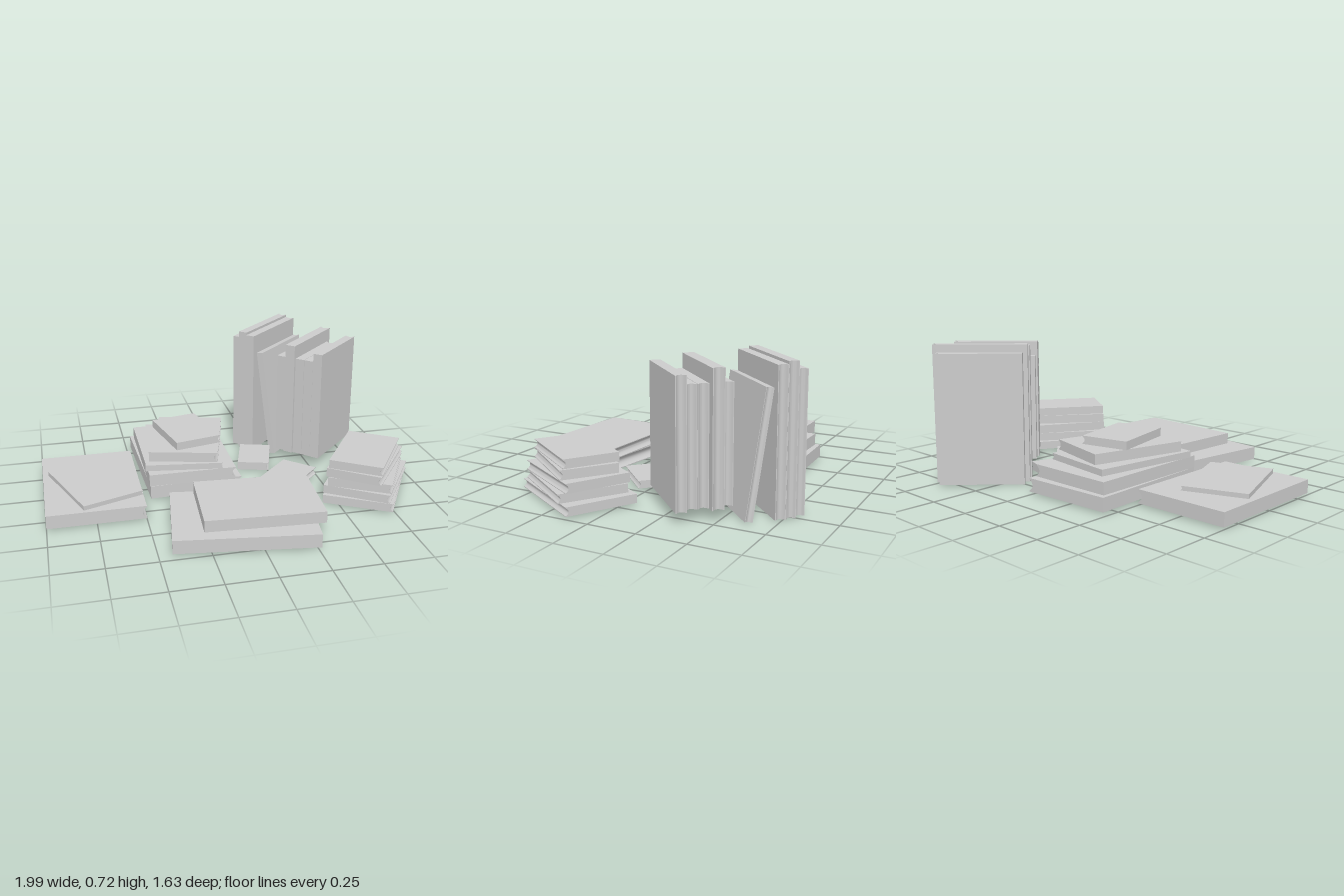
import * as THREE from 'three';
import { toCreasedNormals } from 'three/addons/utils/BufferGeometryUtils.js';

const material = new THREE.MeshStandardMaterial({ color: 0xcccccc });

// Closed book lying flat: flat spine at -x, hollow fore edge at +x, length along z, base at y = 0
function makeBook(name, w, l, t) {
  const shape = new THREE.Shape();
  shape.moveTo(-w / 2, 0);
  shape.lineTo(w / 2, 0);
  shape.lineTo(w / 2, t * 0.07);
  shape.quadraticCurveTo(w / 2 - t * 0.65, t / 2, w / 2, t * 0.93);
  shape.lineTo(w / 2, t);
  shape.lineTo(-w / 2, t);
  shape.closePath();
  const geo = new THREE.ExtrudeGeometry(shape, { depth: l, bevelEnabled: false, curveSegments: 8 });
  geo.translate(0, 0, -l / 2);
  const mesh = new THREE.Mesh(toCreasedNormals(geo, 0.6), material);
  mesh.name = name;
  return mesh;
}

// Lying books: [x, z, width, length, bottom, top, yaw]
const piles = {
  leftPile: [
    [-0.75, -0.01, 0.5, 0.7, 0.01, 0.08, 0],
    [-0.735, 0.04, 0.33, 0.475, 0.08, 0.103, 0.34],
  ],
  frontPile: [
    [-0.05, 0.515, 0.5, 0.707, 0.01, 0.08, 1.43],
    [0.037, 0.482, 0.425, 0.596, 0.083, 0.143, 1.503],
  ],
  middlePile: [
    [-0.215, -0.23, 0.495, 0.705, 0.01, 0.08, 0.035],
    [-0.222, -0.21, 0.465, 0.68, 0.082, 0.145, 0],
    [-0.225, -0.178, 0.41, 0.575, 0.147, 0.18, -0.14],
    [-0.2, -0.167, 0.365, 0.51, 0.182, 0.235, -0.26],
    [-0.207, -0.156, 0.255, 0.36, 0.237, 0.28, 0.22],
  ],
  rightPile: [
    [0.705, 0.25, 0.365, 0.515, 0.01, 0.055, -0.53],
    [0.7, 0.268, 0.35, 0.46, 0.057, 0.102, -0.6],
    [0.7, 0.26, 0.33, 0.46, 0.104, 0.152, -0.52],
    [0.685, 0.28, 0.29, 0.44, 0.154, 0.202, -0.65],
    [0.68, 0.28, 0.28, 0.42, 0.204, 0.25, -0.6],
  ],
  smallBooks: [
    [0.203, -0.215, 0.175, 0.255, 0.01, 0.055, -0.3],
    [0.325, 0.065, 0.205, 0.275, 0.01, 0.05, -0.78],
  ],
};

// Upright books in the row's frame: [centre along width, near face, width, height, thickness, bottom, lean]
const uprights = [
  [0.686, -0.255, 0.438, 0.68, 0.05, 0.003, 0],
  [0.684, -0.203, 0.48, 0.72, 0.05, 0.003, 0],
  [0.682, -0.151, 0.49, 0.707, 0.05, 0.003, 0],
  [0.685, -0.045, 0.455, 0.615, 0.038, 0, 0.15],
  [0.625, 0.062, 0.4, 0.57, 0.053, 0.057, 0],
  [0.64, 0.117, 0.45, 0.643, 0.058, 0.057, 0],
  [0.625, 0.177, 0.4, 0.57, 0.053, 0.057, 0],
  [0.625, 0.232, 0.4, 0.57, 0.053, 0.057, 0],
  [0.637, 0.287, 0.43, 0.617, 0.053, 0.057, 0],
];

export function createModel() {
  const root = new THREE.Group();
  root.name = 'bookCollection';

  // Stacks of lying books
  for (const [name, books] of Object.entries(piles)) {
    const pile = new THREE.Group();
    pile.name = name;
    books.forEach(([x, z, w, l, y0, y1, yaw], i) => {
      const book = makeBook(`lyingBook${i + 1}`, w, l, y1 - y0);
      book.position.set(x, y0, z);
      book.rotation.y = yaw;
      pile.add(book);
    });
    root.add(pile);
  }

  // Diagonal row of standing books, one leaning on its neighbours
  const row = new THREE.Group();
  row.name = 'standingRow';
  row.rotation.y = Math.PI / 4;
  uprights.forEach(([u, v, w, h, t, y0, lean], i) => {
    const book = makeBook(lean ? 'leaningBook' : `standingBook${i + 1}`, w, h, t);
    book.position.set(u, y0 + (h / 2) * Math.cos(lean), v);
    book.rotation.x = Math.PI / 2 - lean;
    row.add(book);
  });
  root.add(row);
  return root;
}
